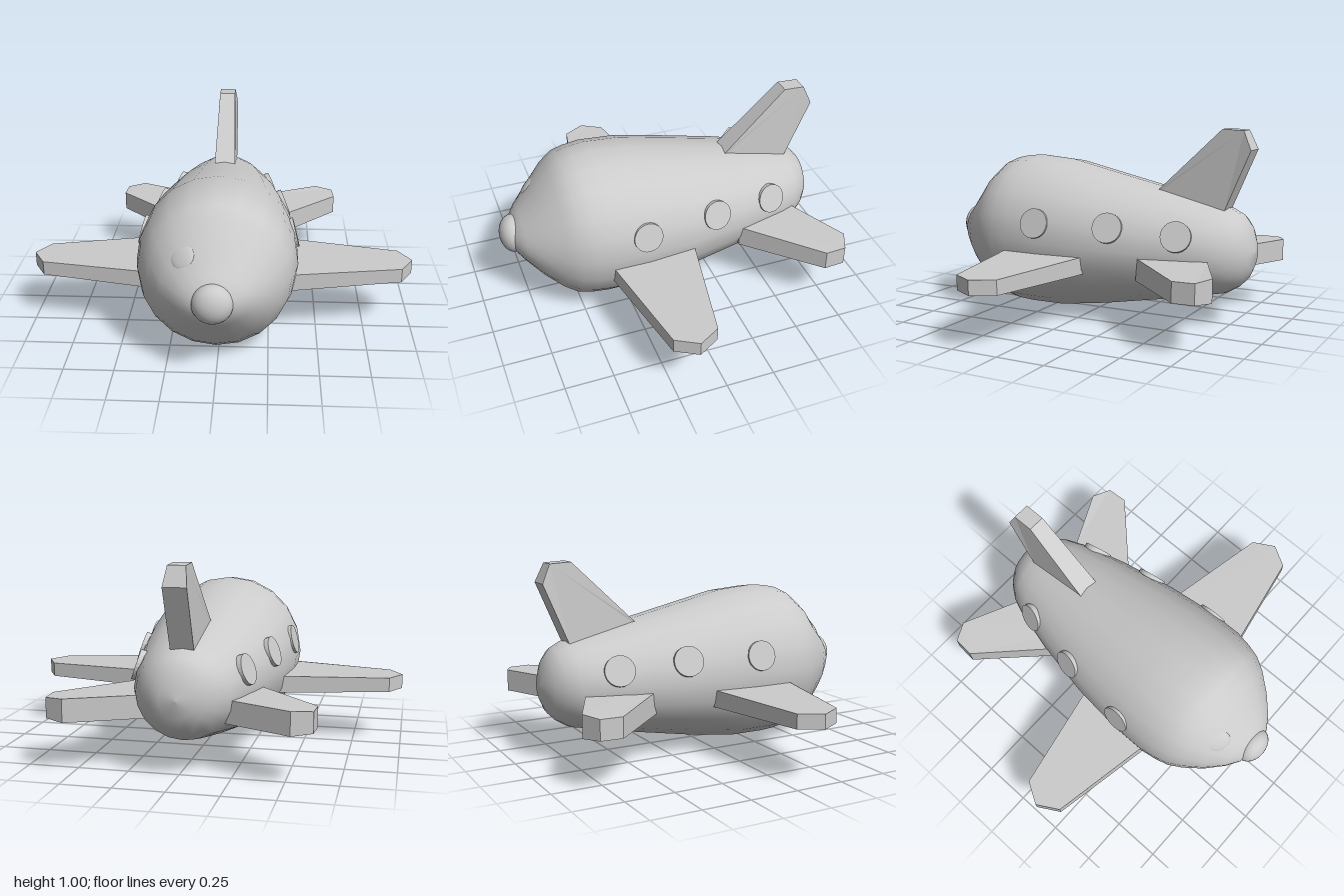
import * as THREE from 'three';

const CX = -0.015; // fuselage centre line
const smooth = new THREE.MeshStandardMaterial({ color: 0xcccccc });
const flat = new THREE.MeshStandardMaterial({ color: 0xcccccc, flatShading: true });

// Fuselage sections, tail to nose: z, top y, bottom y, half width
const SECTIONS = [
  [-0.868, 0.385, 0.385, 0], [-0.855, 0.46, 0.30, 0.085], [-0.83, 0.53, 0.245, 0.135],
  [-0.79, 0.575, 0.205, 0.185], [-0.73, 0.603, 0.168, 0.23], [-0.64, 0.625, 0.15, 0.265],
  [-0.39, 0.685, 0.10, 0.33], [-0.09, 0.75, 0.045, 0.385], [0.17, 0.808, 0.007, 0.41],
  [0.36, 0.823, 0.005, 0.41], [0.45, 0.815, 0.01, 0.395], [0.52, 0.80, 0.025, 0.375],
  [0.59, 0.745, 0.075, 0.335], [0.68, 0.63, 0.17, 0.265], [0.76, 0.54, 0.27, 0.18],
  [0.805, 0.48, 0.33, 0.11], [0.825, 0.41, 0.41, 0],
];

function fuselageGeometry(sides = 20) {
  const pos = [], index = [];
  for (const [z, top, bottom, w] of SECTIONS) {
    for (let j = 0; j < sides; j++) {
      const a = (j / sides) * Math.PI * 2;
      pos.push(CX + w * Math.cos(a), (top + bottom) / 2 + ((top - bottom) / 2) * Math.sin(a), z);
    }
  }
  for (let i = 0; i < SECTIONS.length - 1; i++) {
    for (let j = 0; j < sides; j++) {
      const k = (j + 1) % sides;
      const a = i * sides + j, b = i * sides + k, c = a + sides, d = b + sides;
      if (i > 0) index.push(a, b, d);
      if (i < SECTIONS.length - 2) index.push(a, d, c);
      else continue;
    }
  }
  const g = new THREE.BufferGeometry();
  g.setAttribute('position', new THREE.Float32BufferAttribute(pos, 3));
  g.setIndex(index);
  g.computeVertexNormals();
  return g;
}

// Plate of even thickness, thinned beyond the tip line by the isTip rule
function plate(points, thickness, isTip, tipScale) {
  const shape = new THREE.Shape(points.map(([x, y]) => new THREE.Vector2(x, y)));
  const g = new THREE.ExtrudeGeometry(shape, { depth: thickness, bevelEnabled: false });
  g.translate(0, 0, -thickness / 2);
  const p = g.attributes.position;
  for (let i = 0; i < p.count; i++) {
    if (isTip(p.getX(i), p.getY(i))) p.setZ(i, p.getZ(i) * tipScale);
  }
  g.computeVertexNormals();
  return g;
}

export function createModel() {
  const model = new THREE.Group();
  const add = (name, geometry, material, x = 0, y = 0, z = 0) => {
    const mesh = new THREE.Mesh(geometry, material);
    mesh.name = name;
    mesh.position.set(x, y, z);
    model.add(mesh);
    return mesh;
  };
  const facing = (mesh, x, y, z) =>
    mesh.quaternion.setFromUnitVectors(new THREE.Vector3(0, 1, 0), new THREE.Vector3(x, y, z).normalize());

  add('fuselage', fuselageGeometry(), smooth);

  // Button nose
  add('nose', new THREE.SphereGeometry(0.1, 24, 16), smooth, CX, 0.41, 0.797).scale.z = 0.72;

  // Tail fin, drawn in the side plane (z, y)
  const fin = plate(
    [[-0.3, 0.62], [-0.37, 0.685], [-0.70, 1.0], [-0.81, 0.995], [-0.853, 0.90], [-0.725, 0.6], [-0.68, 0.5], [-0.4, 0.5]],
    0.115, (z, y) => y > 0.95, 0.76);
  fin.rotateY(-Math.PI / 2);
  add('tailFin', fin, flat, -0.01);

  for (const s of [1, -1]) {
    const side = s > 0 ? 'left' : 'right';
    // Outlines are drawn as (x, z) and laid flat
    const mirror = (pts) => pts.map(([x, z]) => [s * x, z]);

    const wing = plate(
      mirror([[0.25, -0.10], [0.40, -0.07], [0.935, 0.035], [1.0, 0.147], [0.935, 0.26], [0.41, 0.36], [0.25, 0.39]]),
      0.088, (x) => Math.abs(x) > 0.9, 0.84);
    wing.rotateX(Math.PI / 2);
    add(side + 'Wing', wing, flat, 0, 0.309, 0);

    const tail = plate(
      mirror([[0.15, -0.36], [0.30, -0.36], [0.64, -0.70], [0.633, -0.81], [0.535, -0.855], [0.25, -0.72], [0.12, -0.66]]),
      0.115, (x) => Math.abs(x) > 0.6, 0.88);
    tail.rotateX(Math.PI / 2);
    add(side + 'Tailplane', tail, flat, 0, 0.309, 0);

    // Round side windows: distance from centre line, y, z, lean up, lean back
    [[0.383, 0.507, 0.184, 0.26, -0.05], [0.333, 0.507, -0.21, 0.36, -0.17], [0.262, 0.48, -0.55, 0.36, -0.22]]
      .forEach(([x, y, z, up, back], i) => {
        const pane = add(side + 'Window' + (i + 1), new THREE.CylinderGeometry(0.077, 0.077, 0.036, 24),
          flat, CX + s * x, y, z);
        facing(pane, s, up, back);
      });

    // Low domed eye windows above the nose
    const eye = add(side + 'EyeWindow', new THREE.SphereGeometry(0.064, 24, 12), smooth, -0.03 + s * 0.133, 0.588, 0.668);
    eye.scale.y = 0.25;
    facing(eye, s * 0.42, 0.62, 0.72);
  }
  return model;
}
